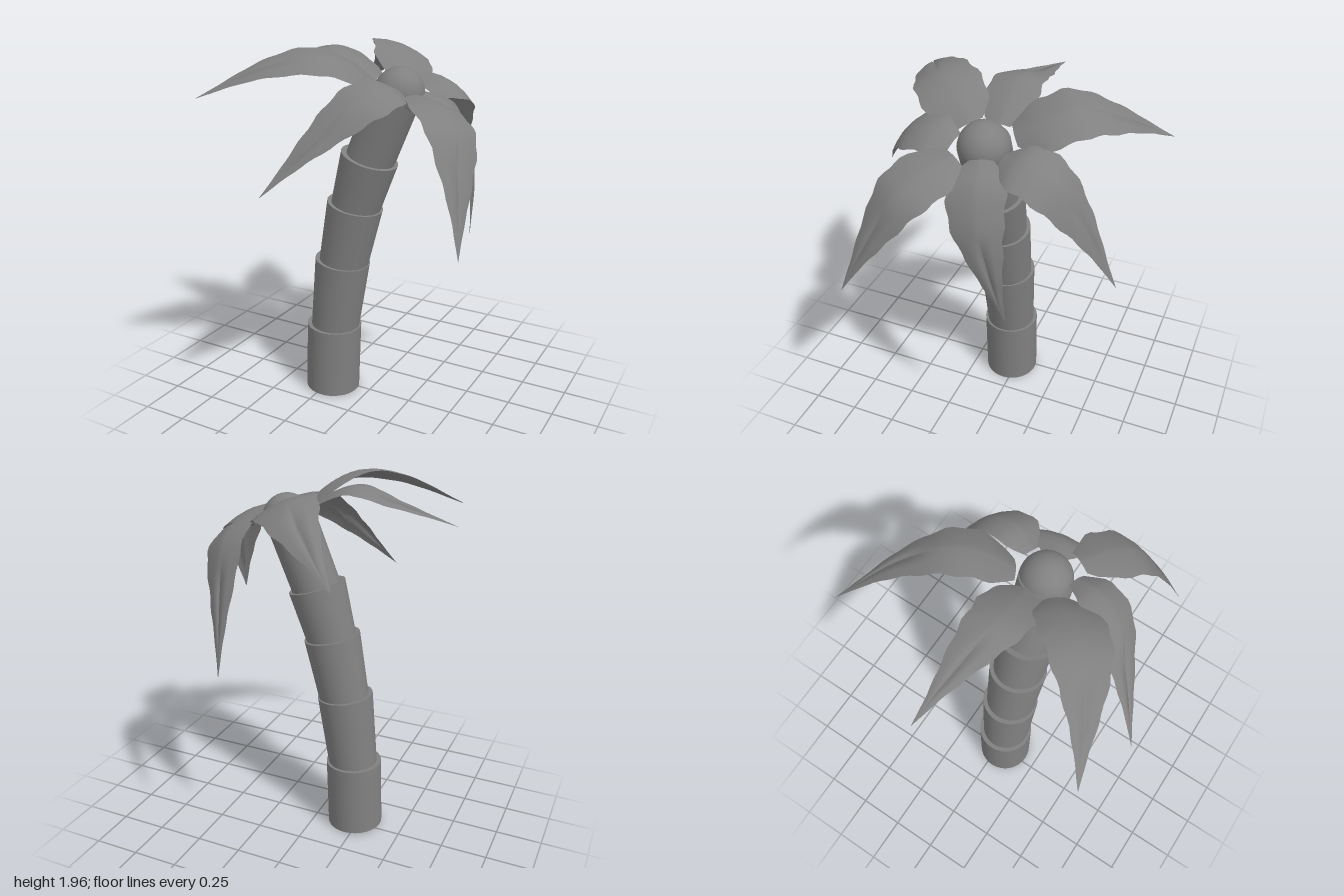
import * as THREE from 'three';

const V = (a) => new THREE.Vector3(...a);
const mat = new THREE.MeshStandardMaterial({ color: 0x808080 });
const leafMat = new THREE.MeshStandardMaterial({ color: 0x808080, side: THREE.DoubleSide });

// Crown axis: the trunk's lean at the top, which also sets the roll of the fronds
const AXIS = new THREE.Vector3(0.42, 0.91, 0).normalize();

// Linear lookup in a list of [t, value]
function lookup(table, t) {
  for (let i = 1; i < table.length; i++) {
    const [t0, a] = table[i - 1], [t1, b] = table[i];
    if (t <= t1) return a + (b - a) * (t - t0) / (t1 - t0);
  }
  return 0;
}

// Half-width of a frond along its length
const WIDTH = [[0, 0.42], [0.06, 0.75], [0.14, 0.96], [0.27, 1], [0.4, 0.9], [0.5, 0.76],
  [0.62, 0.56], [0.72, 0.39], [0.84, 0.2], [1, 0.005]];
// Depth of the crease along the midrib towards the tip
const GROOVE = [[0, 0], [0.42, 0], [0.55, 0.03], [0.72, 0.025], [0.85, 0.004], [1, 0]];

// Thin frond swept along its midrib, slightly arched across and creased in the middle
function frondGeometry(points, halfWidth, seed) {
  const curve = new THREE.CatmullRomCurve3(points.map(V));
  const heading = V(points[2]).sub(V(points[0]));
  const side = new THREE.Vector3().crossVectors(AXIS, heading).normalize();
  const rows = 24, across = [-1, -0.55, -0.1, 0, 0.1, 0.55, 1];
  const n = across.length, pos = [], idx = [];
  for (let i = 0; i <= rows; i++) {
    const t = i / rows;
    const p = curve.getPointAt(t), tan = curve.getTangentAt(t);
    const up = new THREE.Vector3().crossVectors(tan, side).normalize();
    const w = halfWidth * lookup(WIDTH, t);
    for (const s of across) {
      const ragged = Math.abs(s) === 1 ? 1 + 0.05 * Math.sin(i * 1.5 + seed * 2 + s) : 1;
      const drop = w * 0.18 * s * s + (s === 0 ? lookup(GROOVE, t) : 0);
      const q = p.clone().addScaledVector(side, s * w * ragged).addScaledVector(up, -drop);
      pos.push(q.x, q.y, q.z);
    }
  }
  for (let i = 0; i < rows; i++) {
    for (let j = 0; j < n - 1; j++) {
      const a = i * n + j, b = a + 1, c = a + n, d = c + 1;
      idx.push(a, c, b, b, c, d);
    }
  }
  const g = new THREE.BufferGeometry();
  g.setAttribute('position', new THREE.Float32BufferAttribute(pos, 3));
  g.setIndex(idx);
  g.computeVertexNormals();
  return g;
}

// One tapered trunk piece between two points
function trunkSegment(from, to, rBottom, rTop) {
  const a = V(from), b = V(to), dir = b.clone().sub(a);
  const mesh = new THREE.Mesh(new THREE.CylinderGeometry(rTop, rBottom, dir.length(), 32), mat);
  mesh.position.copy(a).add(b).multiplyScalar(0.5);
  mesh.quaternion.setFromUnitVectors(new THREE.Vector3(0, 1, 0), dir.normalize());
  return mesh;
}

export function createModel() {
  const group = new THREE.Group();

  // Trunk: stacked flaring pieces that lean further and further
  const trunk = new THREE.Group();
  trunk.name = 'trunk';
  const z = 0.036;
  const pieces = [
    [[-0.223, 0.005, z], [-0.207, 0.398, z], 0.152, 0.152],
    [[-0.204, 0.37, z], [-0.148, 0.795, z], 0.133, 0.15],
    [[-0.147, 0.76, z], [-0.068, 1.125, z], 0.133, 0.15],
    [[-0.073, 1.09, z], [0.02, 1.393, z], 0.13, 0.152],
    [[0.013, 1.36, z], [0.17, 1.745, 0.03], 0.128, 0.13],
  ];
  pieces.forEach((p, i) => {
    const m = trunkSegment(...p);
    m.name = `trunkSegment${i + 1}`;
    trunk.add(m);
  });
  group.add(trunk);

  // Round bud at the centre of the crown
  const bud = new THREE.Mesh(new THREE.SphereGeometry(0.127, 32, 20), mat);
  bud.name = 'crownBud';
  bud.position.set(0.18, 1.737, 0.024);
  group.add(bud);

  // Fronds: midrib points from the bud to the tip, then half-width
  const fronds = [
    [[[0.06, 1.80, 0], [-0.05, 1.88, 0], [-0.2, 1.94, 0], [-0.42, 1.89, -0.03], [-0.73, 1.81, -0.06]], 0.135],
    [[[0.12, 1.80, -0.1], [0.09, 1.87, -0.22], [0, 1.92, -0.37], [-0.15, 1.85, -0.54], [-0.4, 1.66, -0.75]], 0.165],
    [[[0.27, 1.74, -0.1], [0.32, 1.77, -0.22], [0.33, 1.71, -0.37], [0.28, 1.5, -0.51], [0.21, 1.13, -0.67]], 0.142],
    [[[0.3, 1.74, -0.01], [0.42, 1.69, -0.04], [0.51, 1.52, -0.07], [0.53, 1.3, -0.13], [0.49, 0.98, -0.21]], 0.14],
    [[[0.33, 1.75, 0.11], [0.45, 1.73, 0.18], [0.58, 1.65, 0.28], [0.66, 1.45, 0.39], [0.73, 1.13, 0.54]], 0.16],
    [[[0.24, 1.77, 0.15], [0.23, 1.80, 0.26], [0.17, 1.76, 0.41], [0.03, 1.6, 0.56], [-0.17, 1.34, 0.74]], 0.13],
    [[[0.1, 1.80, 0.13], [0.04, 1.88, 0.22], [-0.08, 1.94, 0.36], [-0.27, 1.90, 0.5], [-0.57, 1.745, 0.66]], 0.165],
  ];
  const crown = new THREE.Group();
  crown.name = 'crown';
  fronds.forEach(([pts, w], i) => {
    const m = new THREE.Mesh(frondGeometry(pts, w, i), leafMat);
    m.name = `frond${i + 1}`;
    crown.add(m);
  });
  group.add(crown);
  return group;
}
